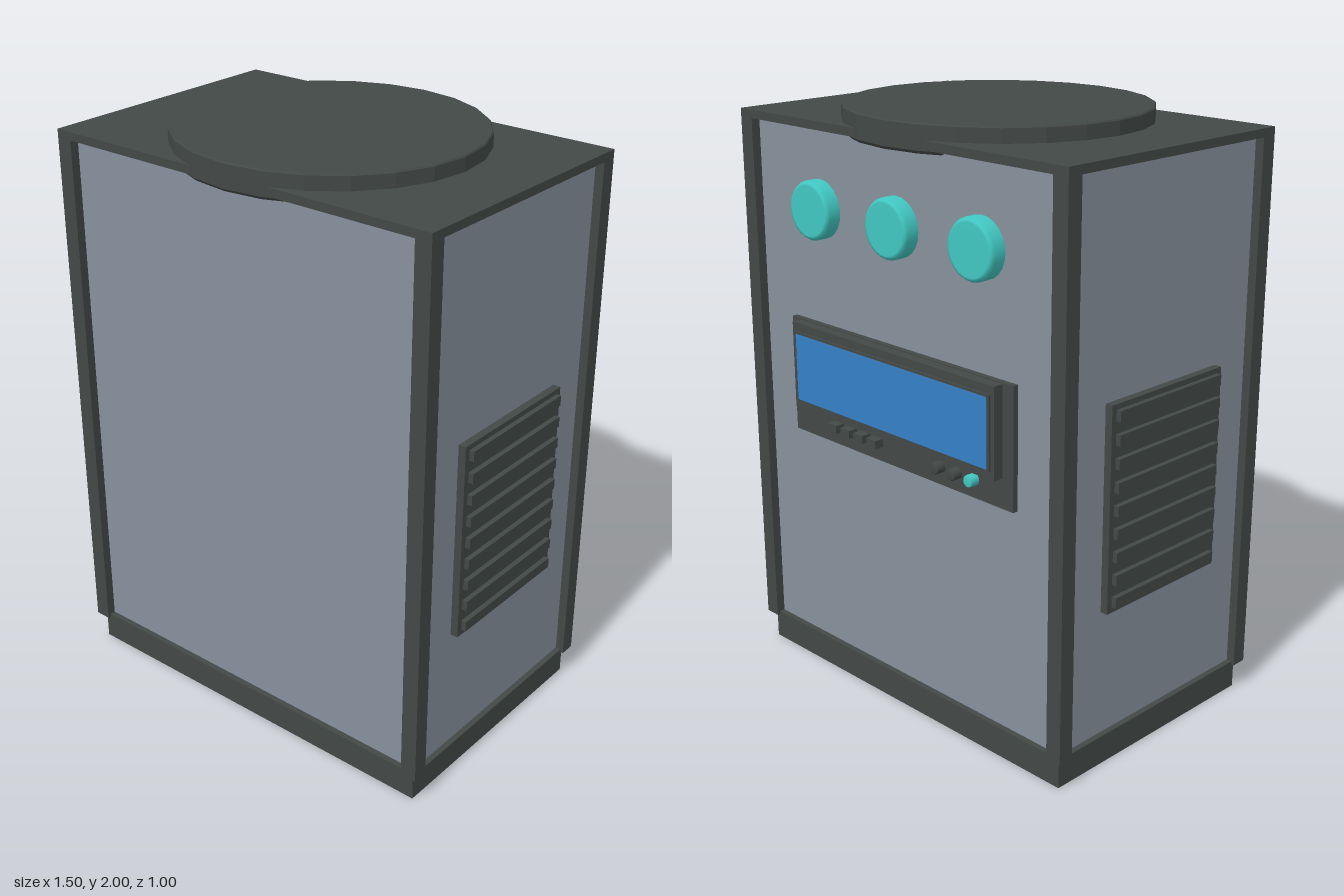
import * as THREE from 'three';

export function createModel() {
  const model = new THREE.Group();
  model.name = 'controlCabinet';
  const body = new THREE.Group();
  body.name = 'cabinet';
  body.position.z = 0.005;
  model.add(body);

  const mat = (name, color, flatShading = false) =>
    Object.assign(new THREE.MeshStandardMaterial({ color, flatShading }), { name });
  const dark = mat('charcoal', 0x434947);
  const grey = mat('panelGrey', 0x87919d);
  const teal = mat('teal', 0x42c8c2);
  const blue = mat('screenBlue', 0x3480c8);

  const add = (name, geometry, material, x, y, z) => {
    const mesh = new THREE.Mesh(geometry, material);
    mesh.name = name;
    mesh.position.set(x, y, z);
    body.add(mesh);
    return mesh;
  };
  // box given by its limits on each axis
  const box = (name, material, x0, x1, y0, y1, z0, z1) =>
    add(name, new THREE.BoxGeometry(x1 - x0, y1 - y0, z1 - z0), material,
      (x0 + x1) / 2, (y0 + y1) / 2, (z0 + z1) / 2);
  // lathed profile whose axis points out of the back
  const knob = (name, material, profile, sides, x, y, z) => {
    const geo = new THREE.LatheGeometry(profile.map(p => new THREE.Vector2(...p)), sides);
    geo.rotateX(-Math.PI / 2);
    return add(name, geo.toNonIndexed(), material, x, y, z);
  };

  // shell: plinth, recessed panels, corner posts and rails
  box('plinth', dark, -0.71, 0.71, 0, 0.1, -0.446, 0.446);
  box('panels', grey, -0.705, 0.705, 0.105, 1.93, -0.438, 0.438);
  box('bottomRail', dark, -0.725, 0.725, 0.1, 0.112, -0.458, 0.458);
  box('topPlate', dark, -0.735, 0.735, 1.922, 1.95, -0.469, 0.469);
  for (const sx of [-1, 1]) {
    for (const sz of [-1, 1]) {
      const post = new THREE.BoxGeometry(0.057, 1.825, 0.055);
      add('cornerPost', post, dark, sx * 0.7065, 1.0125, sz * 0.4415);
    }
  }

  // round lid, slightly squashed front to back, overhanging the cabinet
  const lidProfile = [[0, 1.908], [0.5, 1.908], [0.51, 1.918], [0.51, 1.995], [0.506, 2], [0, 2]];
  const lidGeo = new THREE.LatheGeometry(lidProfile.map(p => new THREE.Vector2(...p)), 24);
  lidGeo.scale(1, 1, 0.967);
  const lidMat = mat('lidCharcoal', 0x434947, true);
  add('lid', lidGeo, lidMat, 0, 0, 0);

  // louvred vents on both sides
  for (const s of [-1, 1]) {
    const plate = new THREE.BoxGeometry(0.04, 0.68, 0.52);
    add('ventPlate', plate, dark, s * 0.711, 0.88, 0);
    for (let i = 0; i < 9; i++) {
      const slat = new THREE.BoxGeometry(0.03, 0.035, 0.48);
      add('ventSlat', slat, dark, s * 0.733, 0.577 + i * 0.076, 0);
    }
  }

  // three dials on the back
  const dialProfile = [[0.097, 0], [0.097, 0.042], [0.09, 0.053], [0.082, 0.054], [0, 0.054]];
  for (const x of [-0.37, 0, 0.37]) {
    knob('dial', teal, dialProfile, 24, x, 1.662, -0.437);
  }

  // console with raised screen
  box('consolePlate', dark, -0.52, 0.52, 0.875, 1.277, -0.457, -0.43);
  box('screenHousing', dark, -0.475, 0.475, 0.975, 1.273, -0.493, -0.45);
  box('screenFrame', dark, -0.46, 0.46, 1.0, 1.245, -0.5, -0.48);
  box('screen', blue, -0.45, 0.45, 1.008, 1.237, -0.502, -0.498);

  // square keys and round buttons under the screen
  for (let i = 0; i < 4; i++) {
    const x = 0.29 - i * 0.066;
    box('key', dark, x - 0.022, x + 0.022, 0.927, 0.955, -0.491, -0.45);
  }
  [-0.205, -0.28, -0.355].forEach((x, i) => {
    const button = [[0.02, 0], [0.02, 0.034], [0.016, 0.038], [0, 0.038]];
    knob('button', i === 2 ? teal : dark, button, 16, x, 0.938, -0.452);
  });

  return model;
}
